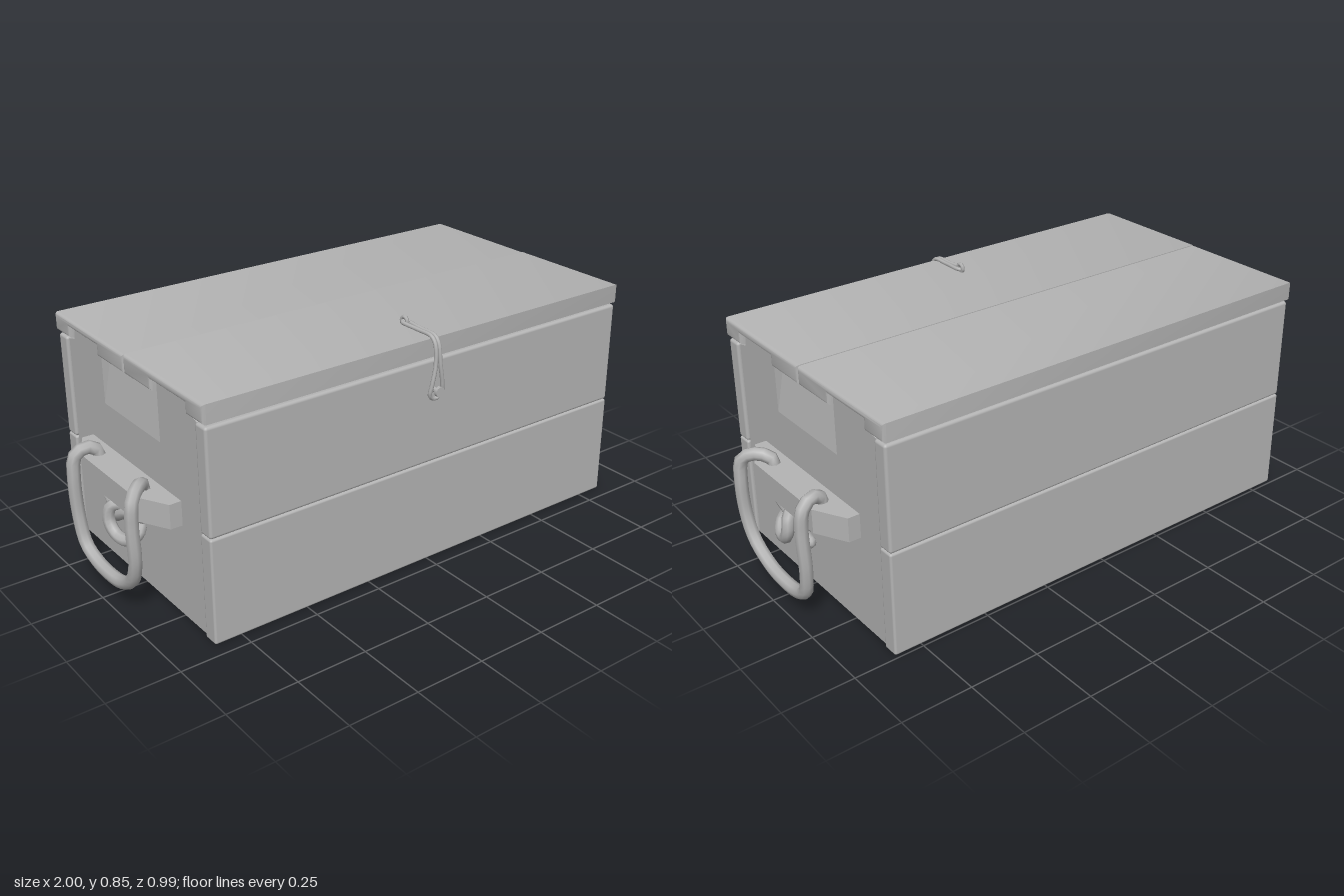
import * as THREE from 'three';
import { toCreasedNormals } from 'three/addons/utils/BufferGeometryUtils.js';
import { RoundedBoxGeometry } from 'three/addons/geometries/RoundedBoxGeometry.js';

const grey = new THREE.MeshStandardMaterial({ color: 0xb4b4b4 });
grey.name = 'plain grey';

function add(parent, name, geometry) {
  const mesh = new THREE.Mesh(geometry, grey);
  mesh.name = name;
  parent.add(mesh);
  return mesh;
}

// Rounded board given by its extents
function board(parent, name, [x0, x1], [y0, y1], [z0, z1], r = 0.012) {
  const g = new RoundedBoxGeometry(x1 - x0, y1 - y0, z1 - z0, 2, r);
  g.translate((x0 + x1) / 2, (y0 + y1) / 2, (z0 + z1) / 2);
  return add(parent, name, g);
}

// Outline of [z, y] points swept along x, with optional rounded edges
function sweepX(points, x0, x1, bevel = 0) {
  const shape = new THREE.Shape(points.map(([z, y]) => new THREE.Vector2(-z, y)));
  const g = new THREE.ExtrudeGeometry(shape, {
    depth: x1 - x0 - 2 * bevel, bevelEnabled: bevel > 0, bevelSize: bevel,
    bevelThickness: bevel, bevelOffset: -bevel, bevelSegments: 3,
  });
  g.rotateY(Math.PI / 2).translate(x0 + bevel, 0, 0);
  return toCreasedNormals(g, 0.6);
}

// Cord through [x, y, z] points, closed off with round ends
function cord(parent, name, points, radius, segments, closed = false) {
  const pts = points.map((p) => new THREE.Vector3(...p));
  const curve = new THREE.CatmullRomCurve3(pts, closed, 'centripetal');
  add(parent, name, new THREE.TubeGeometry(curve, segments, radius, 8, closed));
  if (closed) return;
  for (const p of [pts[0], pts[pts.length - 1]]) {
    add(parent, name + 'End', new THREE.SphereGeometry(radius, 8, 6).translate(p.x, p.y, p.z));
  }
}

function createEnd(s) {
  const end = new THREE.Group();
  end.name = s > 0 ? 'leftEnd' : 'rightEnd';

  // End panel with two raised tabs and a gap between them
  const panel = [
    [0.39, 0.005], [0.39, 0.735], [0.35, 0.745], [0.345, 0.785], [0.16, 0.785], [0.16, 0.58],
    [-0.2, 0.58], [-0.2, 0.785], [-0.385, 0.785], [-0.39, 0.745], [-0.43, 0.735], [-0.43, 0.005],
  ];
  add(end, 'endPanel', sweepX(panel, s > 0 ? 0.775 : -0.838, s > 0 ? 0.838 : -0.775));

  // Sloping finger recess filling the gap
  const slope = new THREE.Shape([[0.775, 0.58], [0.838, 0.58], [0.805, 0.742], [0.775, 0.742]]
    .map(([x, y]) => new THREE.Vector2(s * x, y)));
  add(end, 'fingerRecess',
    new THREE.ExtrudeGeometry(slope, { depth: 0.36, bevelEnabled: false }).translate(0, 0, -0.2));

  // Handle block, tapered at both ends
  const block = new THREE.Shape([
    [0.83, 0.27], [0.88, 0.27], [0.94, 0.16], [0.94, -0.2], [0.88, -0.312], [0.83, -0.312],
  ].map(([x, z]) => new THREE.Vector2(s * x, -z)));
  add(end, 'handleBlock', new THREE.ExtrudeGeometry(block, { depth: 0.085, bevelEnabled: false })
    .rotateX(-Math.PI / 2).translate(0, 0.34, 0));

  // Rope handle: over the block and hanging in a loop
  const rope = (name, pts, n, r) => cord(end, name, pts.map(([x, y, z]) => [s * x, y, z]), r, n);
  rope('ropeHandle', [
    [0.89, 0.36, 0.13], [0.89, 0.435, 0.125], [0.925, 0.455, 0.16], [0.965, 0.435, 0.195],
    [0.975, 0.35, 0.2], [0.97, 0.22, 0.195], [0.965, 0.14, 0.16], [0.96, 0.085, 0.08],
    [0.96, 0.071, 0], [0.96, 0.077, -0.1], [0.965, 0.115, -0.165], [0.97, 0.2, -0.19],
    [0.975, 0.36, -0.192], [0.965, 0.43, -0.192], [0.925, 0.455, -0.182], [0.89, 0.435, -0.175],
    [0.89, 0.36, -0.17],
  ], 48, 0.023);

  // Knot under the block
  rope('knotStrand', [
    [0.88, 0.345, 0.14], [0.89, 0.315, 0.11], [0.9, 0.3, 0.03], [0.905, 0.275, -0.02],
    [0.9, 0.25, -0.06], [0.9, 0.237, -0.095],
  ], 16, 0.022);
  rope('knotLoop', [
    [0.88, 0.345, -0.15], [0.89, 0.31, -0.12], [0.9, 0.29, -0.05], [0.875, 0.285, 0.02],
    [0.88, 0.265, 0.07], [0.9, 0.235, 0.08], [0.925, 0.213, 0.045], [0.935, 0.22, 0],
    [0.94, 0.26, -0.03], [0.93, 0.31, -0.025], [0.9, 0.315, 0], [0.885, 0.27, 0.01],
  ], 36, 0.021);
  return end;
}

function createLatch() {
  const latch = new THREE.Group();
  latch.name = 'latch';
  // Twin cord running over the lid edge and opening into a loop
  cord(latch, 'latchLoop', [
    [0.007, 0.825, 0.3], [0.007, 0.823, 0.38], [0.007, 0.82, 0.45], [0.007, 0.8, 0.468],
    [0.01, 0.73, 0.476], [0.022, 0.66, 0.474], [0.024, 0.625, 0.468], [0, 0.609, 0.466],
    [-0.024, 0.625, 0.468], [-0.022, 0.66, 0.474], [-0.01, 0.73, 0.476], [-0.007, 0.8, 0.468],
    [-0.007, 0.82, 0.45], [-0.007, 0.823, 0.38], [-0.007, 0.825, 0.3],
  ], 0.007, 64, true);
  // Lid knot and front peg
  const ring = add(latch, 'lidKnot', new THREE.TorusGeometry(0.014, 0.007, 6, 10));
  ring.position.set(0, 0.828, 0.305);
  ring.rotation.y = Math.PI / 2;
  add(latch, 'pegStem', new THREE.CylinderGeometry(0.009, 0.009, 0.05, 8)
    .rotateX(Math.PI / 2).translate(0, 0.64, 0.465));
  add(latch, 'pegHead', new THREE.CylinderGeometry(0.018, 0.018, 0.012, 8)
    .rotateX(Math.PI / 2).translate(0, 0.64, 0.486));
  return latch;
}

export function createModel() {
  const chest = new THREE.Group();
  chest.name = 'chest';

  // Two planks on the front and two on the back
  for (const [name, z] of [['front', [0.392, 0.45]], ['back', [-0.49, -0.432]]]) {
    board(chest, name + 'LowerPlank', [-0.848, 0.848], [0.002, 0.372], z, 0.008);
    board(chest, name + 'UpperPlank', [-0.848, 0.848], [0.373, 0.74], z, 0.01);
  }

  // Floor
  add(chest, 'floor', new THREE.BoxGeometry(1.64, 0.03, 0.83).translate(0, 0.023, -0.02));

  // Lid planks, grooved underneath to clear the tabs
  add(chest, 'lidFrontPlank', sweepX([
    [0.452, 0.75], [0.452, 0.815], [-0.019, 0.815], [-0.019, 0.75], [0.15, 0.75],
    [0.15, 0.787], [0.352, 0.787], [0.352, 0.75],
  ], -0.855, 0.855, 0.012));
  add(chest, 'lidBackPlank', sweepX([
    [-0.02, 0.75], [-0.02, 0.813], [-0.495, 0.813], [-0.495, 0.75], [-0.392, 0.75],
    [-0.392, 0.787], [-0.198, 0.787], [-0.198, 0.75],
  ], -0.855, 0.855, 0.012));

  chest.add(createEnd(1), createEnd(-1), createLatch());
  return chest;
}
